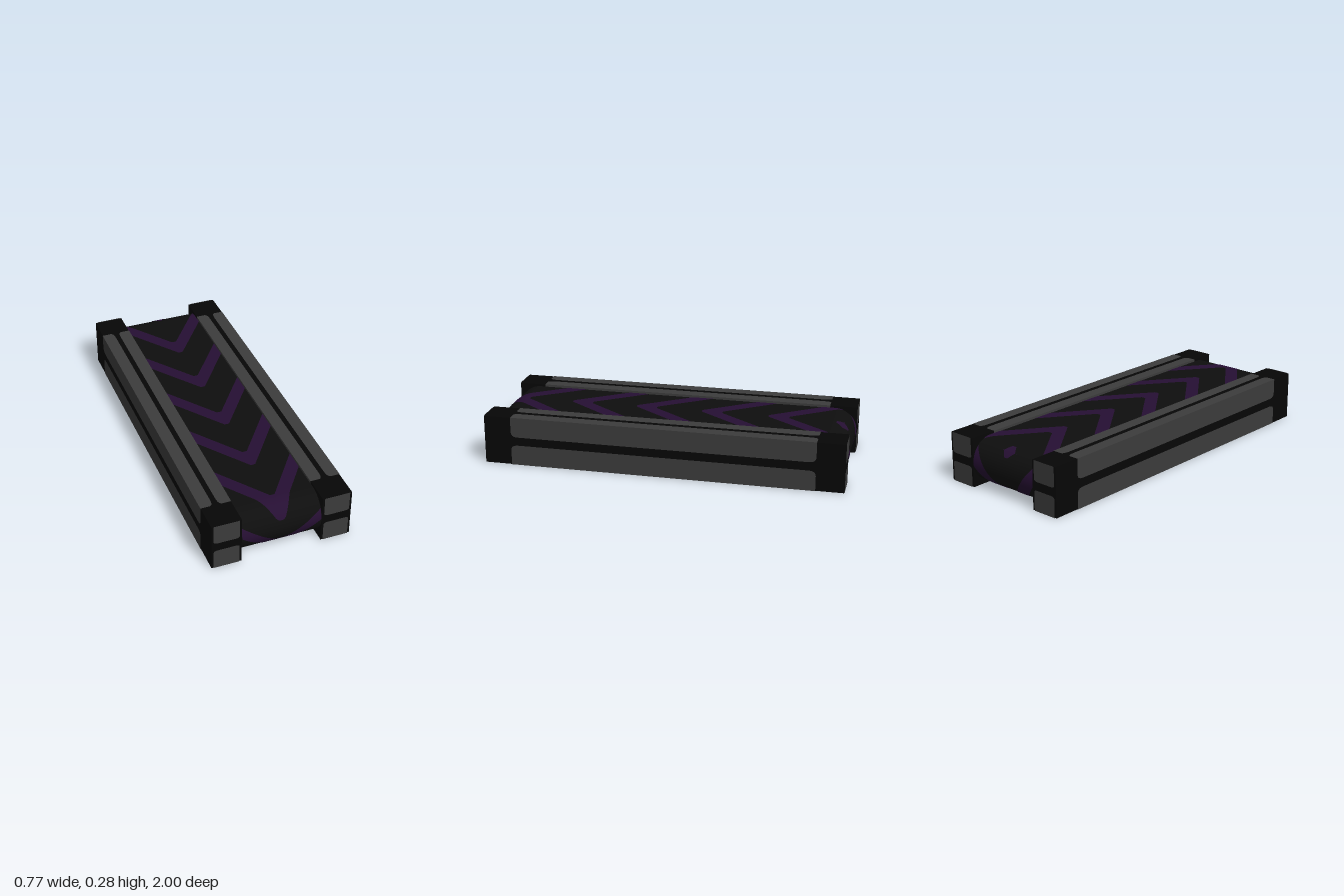
import * as THREE from 'three';
import { toCreasedNormals } from 'three/addons/utils/BufferGeometryUtils.js';

const RAIL_W = 0.166, RAIL_H = 0.275, RAIL_X = 0.302, LENGTH = 2;
const BELT_R = 0.123, BELT_Y = 0.1385, BELT_HALF = 0.22, CAP_Z = 0.874;
const SEAM_Z = -0.945, SEAM_ANGLE = 0.59;   // where the two halves of the belt pattern meet

const paint = (name, color, side = THREE.FrontSide) => {
  const m = new THREE.MeshStandardMaterial({ color, side });
  m.name = name;
  return m;
};

function add(parent, name, geometry, material) {
  const mesh = new THREE.Mesh(geometry, material);
  mesh.name = name;
  parent.add(mesh);
  return mesh;
}

// Plate lying on the upper half of a w x h panel, rounded at its two corners by the centre gap
function plateGeometry(w, h, rx, ry) {
  const x = w * 0.423, y0 = h * 0.086, y1 = h / 2;
  const s = new THREE.Shape();
  s.moveTo(x, y1);
  s.lineTo(-x, y1);
  s.lineTo(-x, y0 + ry);
  s.quadraticCurveTo(-x, y0, -x + rx, y0);
  s.lineTo(x - rx, y0);
  s.quadraticCurveTo(x, y0, x, y0 + ry);
  return new THREE.ShapeGeometry(s, 6);
}

function makeRail(bodyMat, plateMat) {
  const rail = new THREE.Group();
  rail.name = 'sideRail';
  add(rail, 'railBody', new THREE.BoxGeometry(RAIL_W - 0.003, RAIL_H - 0.003, LENGTH - 0.003), bodyMat);
  const q = Math.PI / 2;
  // name, panel width, panel height, corner radii, tilt, turn, offset from centre
  const panels = [
    ['front', RAIL_W, RAIL_H, 0.022, 0.014, 0, 0, [0, 0, LENGTH / 2]],
    ['back', RAIL_W, RAIL_H, 0.022, 0.014, 0, 2 * q, [0, 0, -LENGTH / 2]],
    ['left', LENGTH, RAIL_H, 0.04, 0.03, 0, q, [RAIL_W / 2, 0, 0]],
    ['right', LENGTH, RAIL_H, 0.04, 0.03, 0, -q, [-RAIL_W / 2, 0, 0]],
    ['top', LENGTH, RAIL_W, 0.05, 0.02, -q, q, [0, RAIL_H / 2, 0]],
    ['bottom', LENGTH, RAIL_W, 0.05, 0.02, q, q, [0, -RAIL_H / 2, 0]],
  ];
  for (const [name, w, h, rx, ry, tilt, turn, pos] of panels) {
    for (const spin of [0, Math.PI]) {
      const g = plateGeometry(w, h, rx, ry);
      g.rotateZ(spin).rotateX(tilt).rotateY(turn).translate(...pos);
      add(rail, name + 'Plate', g, plateMat);
    }
  }
  return rail;
}

// Solid belt with half-round ends
function beltGeometry() {
  const s = new THREE.Shape();
  s.absarc(CAP_Z, 0, BELT_R, -Math.PI / 2, Math.PI / 2, false);
  s.absarc(-CAP_Z, 0, BELT_R, Math.PI / 2, Math.PI * 1.5, false);
  const g = new THREE.ExtrudeGeometry(s, { depth: BELT_HALF * 2, bevelEnabled: false, curveSegments: 32 });
  g.translate(0, 0, -BELT_HALF).rotateY(-Math.PI / 2).translate(0, BELT_Y, 0);
  return toCreasedNormals(g, 0.6);
}

const R = BELT_R + 0.002;
const onCap = (end, a) => [BELT_Y + R * Math.cos(a), end * (CAP_Z + R * Math.sin(a))];

// Upper run: along the top, then down around the front end
const KNOTS = [[CAP_Z, 0], [0.963, 1.05], [1.075, 1.52], [1.245, 2.25], [1.45, Math.PI]];
function upperRun(u) {
  if (u < -CAP_Z) return onCap(-1, Math.asin(Math.min(1, (-CAP_Z - u) / R)));
  if (u <= CAP_Z) return [BELT_Y + R, u];
  let i = 1;
  while (i < KNOTS.length - 1 && u > KNOTS[i][0]) i++;
  const [u0, a0] = KNOTS[i - 1], [u1, a1] = KNOTS[i];
  return onCap(1, a0 + (a1 - a0) * (u - u0) / (u1 - u0));
}

// Lower run: down around the back end, then along the underside
const CAP_ARC = (Math.PI - SEAM_ANGLE) * R;
function lowerRun(d) {
  if (d < CAP_ARC) return onCap(-1, SEAM_ANGLE + d / R);
  return [BELT_Y - R, -CAP_Z + d - CAP_ARC];
}

// Thin V band wrapped on the belt surface, clipped to the run
function chevronGeometry(run, tip, min, max) {
  const cols = 32, rows = 14, pos = [], index = [];
  for (let c = 0; c <= cols; c++) {
    const x = (c / cols * 2 - 1) * (BELT_HALF - 0.002);
    const hi = tip - 1.35 * Math.max(Math.abs(x), 0.012);
    for (let r = 0; r <= rows; r++) {
      const u = THREE.MathUtils.clamp(hi - 0.118 * (1 - r / rows) + 0.016, min, max);
      const [y, z] = run(u);
      pos.push(x, y, z);
      if (c < cols && r < rows) {
        const a = c * (rows + 1) + r, b = a + rows + 1;
        index.push(a, a + 1, b, b, a + 1, b + 1);
      }
    }
  }
  const g = new THREE.BufferGeometry();
  g.setAttribute('position', new THREE.Float32BufferAttribute(pos, 3));
  g.setIndex(index);
  g.computeVertexNormals();
  return g;
}

export function createModel() {
  const railBlack = paint('railBlack', 0x060606);
  const beltBlack = paint('beltBlack', 0x0e0e0e);
  const plateGrey = paint('plateGrey', 0x3c3c3c, THREE.DoubleSide);
  const chevronPurple = paint('chevronPurple', 0x260f33, THREE.DoubleSide);

  const model = new THREE.Group();
  model.name = 'conveyor';

  for (const side of [-1, 1]) {
    const rail = makeRail(railBlack, plateGrey);
    rail.position.set(side * RAIL_X, RAIL_H / 2, 0);
    model.add(rail);
  }

  const belt = new THREE.Group();
  belt.name = 'belt';
  model.add(belt);
  add(belt, 'beltBody', beltGeometry(), beltBlack);

  // The pattern repeats along each run, mirrored at the seam
  const lowerEnd = CAP_ARC + 2 * CAP_Z;
  for (let i = 0; i < 7; i++) {
    const d = 0.04 + 0.377 * i;
    add(belt, 'upperChevron', chevronGeometry(upperRun, SEAM_Z + d, SEAM_Z, 1.45), chevronPurple);
    add(belt, 'lowerChevron', chevronGeometry(lowerRun, d, 0, lowerEnd), chevronPurple);
  }
  return model;
}
